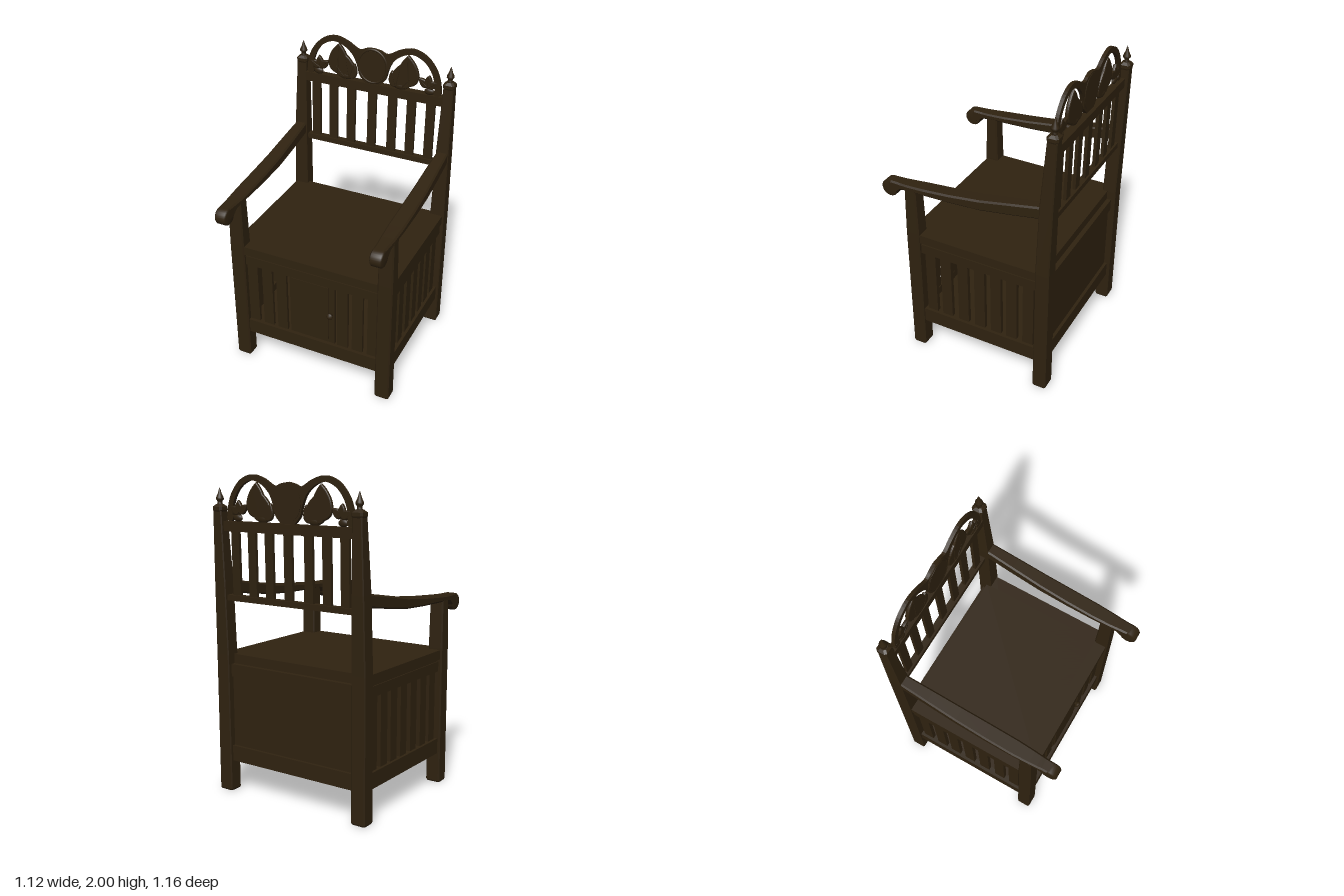
import * as THREE from 'three';

const wood = new THREE.MeshStandardMaterial({ color: 0x2f2210 });
wood.name = 'darkWood';

// Lofts chamfered rectangles [w, u0, u1, v0, v1]; axis 'y' uses u=z, v=x and axis 'z' uses u=x, v=y
function loft(axis, sections, c) {
  const rings = sections.map(([w, u0, u1, v0, v1]) =>
    [[u1, v0 + c], [u1, v1 - c], [u1 - c, v1], [u0 + c, v1], [u0, v1 - c], [u0, v0 + c], [u0 + c, v0], [u1 - c, v0]]
      .map(([u, v]) => (axis === 'y' ? [v, w, u] : [u, v, w])));
  const pos = [];
  const last = rings.length - 1;
  for (let i = 0; i < last; i++) {
    for (let j = 0; j < 8; j++) {
      const k = (j + 1) % 8;
      const [a, b, d, e] = [rings[i][j], rings[i][k], rings[i + 1][k], rings[i + 1][j]];
      pos.push(...a, ...b, ...d, ...a, ...d, ...e);
    }
  }
  for (let j = 1; j < 7; j++) {
    pos.push(...rings[0][0], ...rings[0][j + 1], ...rings[0][j]);
    pos.push(...rings[last][0], ...rings[last][j], ...rings[last][j + 1]);
  }
  const g = new THREE.BufferGeometry();
  g.setAttribute('position', new THREE.Float32BufferAttribute(pos, 3));
  g.computeVertexNormals();
  return g;
}

export function createModel() {
  const chair = new THREE.Group();
  chair.name = 'armchair';

  const add = (name, geo, x = 0, y = 0, z = 0) => {
    const m = new THREE.Mesh(geo, wood);
    m.name = name;
    m.position.set(x, y, z);
    chair.add(m);
    return m;
  };
  // Box given by its extents
  const box = (name, x0, x1, y0, y1, z0, z1) =>
    add(name, new THREE.BoxGeometry(x1 - x0, y1 - y0, z1 - z0), (x0 + x1) / 2, (y0 + y1) / 2, (z0 + z1) / 2);
  const extrude = (shape, depth, bevel = 0) => {
    const g = new THREE.ExtrudeGeometry(shape, {
      depth, curveSegments: 16, bevelEnabled: bevel > 0, bevelSize: bevel, bevelThickness: bevel, bevelOffset: -bevel, bevelSegments: 3,
    });
    return g.translate(0, 0, -depth / 2);
  };
  const smooth = (pts) => new THREE.SplineCurve(pts.map(([x, y]) => new THREE.Vector2(x, y))).getPoints(36);

  // Posts, arms and finials, each symmetric about x = 0.508
  const frontPost = loft('y', [
    [0, 0.335, 0.415, -0.045, 0.045], [0.01, 0.33, 0.42, -0.049, 0.049],
    [0.9, 0.33, 0.42, -0.049, 0.049], [1.21, 0.338, 0.415, -0.046, 0.046]], 0.008);
  const backPost = loft('y', [
    [0, -0.55, -0.47, -0.045, 0.045], [0.01, -0.555, -0.465, -0.049, 0.049],
    [0.89, -0.557, -0.467, -0.048, 0.048], [1.35, -0.566, -0.48, -0.042, 0.042],
    [1.78, -0.575, -0.512, -0.033, 0.033]], 0.006);
  const cap = loft('y', [
    [1.775, -0.575, -0.512, -0.033, 0.033], [1.785, -0.58, -0.508, -0.037, 0.037],
    [1.805, -0.58, -0.508, -0.037, 0.037], [1.82, -0.565, -0.523, -0.022, 0.022]], 0.012);
  const finial = new THREE.LatheGeometry([
    [0, 0], [0.02, 0], [0.014, 0.012], [0.014, 0.022], [0.024, 0.034], [0.023, 0.045],
    [0.012, 0.068], [0.006, 0.09], [0, 0.106]].map(([r, y]) => new THREE.Vector2(r, y)), 16);
  const arm = loft('z', [
    [-0.5, -0.037, 0.037, 1.277, 1.357], [-0.3, -0.043, 0.043, 1.245, 1.322],
    [-0.1, -0.048, 0.048, 1.217, 1.286], [0.1, -0.051, 0.051, 1.207, 1.262],
    [0.28, -0.051, 0.051, 1.202, 1.246], [0.4, -0.046, 0.046, 1.198, 1.237],
    [0.45, -0.042, 0.042, 1.188, 1.235], [0.48, -0.04, 0.04, 1.16, 1.235],
    [0.53, -0.038, 0.038, 1.15, 1.234]], 0.01);
  const scroll = new THREE.LatheGeometry([
    [0, -0.038], [0.047, -0.038], [0.055, -0.03], [0.055, 0.03], [0.047, 0.038], [0, 0.038],
  ].map(([r, y]) => new THREE.Vector2(r, y)), 28).rotateZ(Math.PI / 2);
  for (const s of [1, -1]) {
    const x = s * 0.508;
    add('frontPost', frontPost, x);
    add('backPost', backPost, x);
    add('postCap', cap, x);
    add('finial', finial, x, 1.815, -0.544);
    add('armrest', arm, x);
    add('armScroll', scroll, x, 1.179, 0.528);
  }

  // Seat, floor and back panel of the chest
  box('seatBoard', -0.465, 0.465, 0.83, 0.89, -0.5, 0.412);
  box('seatSideBoard', -0.545, 0.545, 0.83, 0.89, -0.47, 0.335);
  box('floor', -0.5, 0.5, 0.225, 0.245, -0.5, 0.38);
  box('backPanel', -0.47, 0.47, 0.29, 0.76, -0.515, -0.495);
  box('backTopRail', -0.47, 0.47, 0.75, 0.83, -0.53, -0.49);
  box('backBottomRail', -0.47, 0.47, 0.2, 0.3, -0.535, -0.49);

  // Side rails and slats
  for (const s of [1, -1]) {
    const side = (name, y0, y1, z0, z1, d) => {
      const a = s * (0.54 - d), b = s * 0.495;
      box(name, Math.min(a, b), Math.max(a, b), y0, y1, z0, z1);
    };
    side('sideBottomRail', 0.2, 0.3, -0.47, 0.335, 0);
    side('sideTopRail', 0.75, 0.815, -0.47, 0.335, 0.005);
    side('sideMoulding', 0.815, 0.83, -0.47, 0.335, 0.012);
    for (const z of [0.276, 0.165, 0.045, -0.073, -0.187, -0.297, -0.41]) {
      side('sideSlat', 0.295, 0.755, z - 0.036, z + 0.036, 0.018);
    }
  }

  // Chest front: rails, slats and door
  box('frontBottomRail', -0.465, 0.465, 0.2, 0.3, 0.36, 0.405);
  box('frontTopRail', -0.465, 0.465, 0.75, 0.815, 0.36, 0.4);
  box('frontMoulding', -0.465, 0.465, 0.815, 0.83, 0.36, 0.394);
  for (const s of [1, -1]) {
    for (const x of [0.423, 0.318, 0.215]) box('frontSlat', s * x - 0.036, s * x + 0.036, 0.295, 0.755, 0.365, 0.385);
  }
  box('doorFrame', -0.155, 0.16, 0.3, 0.75, 0.362, 0.382);
  box('doorPanel', -0.143, 0.118, 0.328, 0.738, 0.38, 0.39);
  const knob = new THREE.LatheGeometry([
    [0, 0], [0.012, 0], [0.01, 0.014], [0.022, 0.022], [0.022, 0.03], [0.012, 0.039], [0, 0.04],
  ].map(([r, y]) => new THREE.Vector2(r, y)), 18).rotateX(Math.PI / 2);
  add('doorKnob', knob, 0.136, 0.53, 0.38);

  // Backrest rails and leaning slats
  box('backrestLowerRail', -0.48, 0.48, 1.235, 1.27, -0.545, -0.5);
  box('backrestUpperRail', -0.48, 0.48, 1.66, 1.72, -0.555, -0.506);
  for (const x of [-0.405, -0.28, -0.152, -0.003, 0.138, 0.268, 0.398]) {
    const slat = box('backrestSlat', x - 0.029, x + 0.029, 1.255, 1.675, -0.536, -0.516);
    slat.rotation.x = -0.018;
  }

  // Crest: two scrolled arches flowing into a central medallion
  const crestZ = -0.52;
  const outer = [[0.462, 1.75], [0.455, 1.81], [0.425, 1.89], [0.36, 1.965], [0.27, 1.999], [0.18, 1.978], [0.1, 1.935], [0.05, 1.95], [0, 1.958]];
  const inner = [[0.045, 1.715], [0.09, 1.765], [0.108, 1.83], [0.14, 1.895], [0.2, 1.945], [0.27, 1.964], [0.34, 1.936], [0.39, 1.88], [0.417, 1.81], [0.42, 1.75]];
  const half = [...smooth(outer), new THREE.Vector2(0, 1.715), ...smooth(inner)];
  for (const s of [1, -1]) {
    const shape = new THREE.Shape(half.map((p) => new THREE.Vector2(s * p.x, p.y)));
    add('crestArch', extrude(shape, 0.022), 0, 0, crestZ);
    add('archFoot', new THREE.CylinderGeometry(0.024, 0.024, 0.024, 20).rotateX(Math.PI / 2), s * 0.44, 1.742, crestZ);
  }
  const disc = add('medallion', new THREE.CylinderGeometry(0.09, 0.097, 0.03, 40).rotateX(Math.PI / 2), 0, 1.84, crestZ);
  disc.scale.y = 1.15;
  const rim = add('medallionRim', new THREE.TorusGeometry(0.097, 0.008, 8, 48), 0, 1.84, crestZ + 0.008);
  rim.scale.y = 1.14;

  // Carved leaves: pointed shapes growing up from their base
  const leaf = (name, x, y, w, h, angle) => {
    const shape = new THREE.Shape();
    shape.moveTo(0, 0);
    shape.bezierCurveTo(w * 0.75, h * 0.05, w * 0.75, h * 0.6, 0, h);
    shape.bezierCurveTo(-w * 0.75, h * 0.6, -w * 0.75, h * 0.05, 0, 0);
    add(name, extrude(shape, 0.008, 0.008), x, y, crestZ).rotation.z = angle;
    // Middle vein
    const vein = add(name + 'Vein', new THREE.CylinderGeometry(0.002, 0.004, h * 0.8, 6).translate(0, h * 0.45, 0), x, y, crestZ + 0.011);
    vein.rotation.z = angle;
  };
  for (const s of [1, -1]) {
    leaf('largeLeaf', s * 0.245, 1.745, 0.125, 0.21, s * 0.04);
    leaf('innerLeaf', s * 0.16, 1.73, 0.085, 0.16, s * -0.2);
    leaf('lowLeaf', s * 0.165, 1.73, 0.07, 0.11, s * 0.35);
    leaf('fillLeaf', s * 0.2, 1.735, 0.06, 0.1, s * -0.7);
    for (const a of [-0.95, 0, 0.95]) leaf('smallLeaf', s * 0.372, 1.768, 0.045, 0.08, a + s * -0.1);
    // Buds and stems tie the leaves to the upper rail
    add('bud', new THREE.SphereGeometry(0.028, 16, 10).scale(1.2, 0.8, 0.5), s * 0.385, 1.74, crestZ);
    add('leafBase', new THREE.SphereGeometry(0.04, 16, 10).scale(1.2, 0.6, 0.35), s * 0.19, 1.74, crestZ);
    const stem = new THREE.CatmullRomCurve3([[0.385, 1.74], [0.372, 1.76], [0.372, 1.79]].map(([x, y]) => new THREE.Vector3(s * x, y, crestZ)));
    add('leafStem', new THREE.TubeGeometry(stem, 8, 0.008, 8));
  }

  return chair;
}
